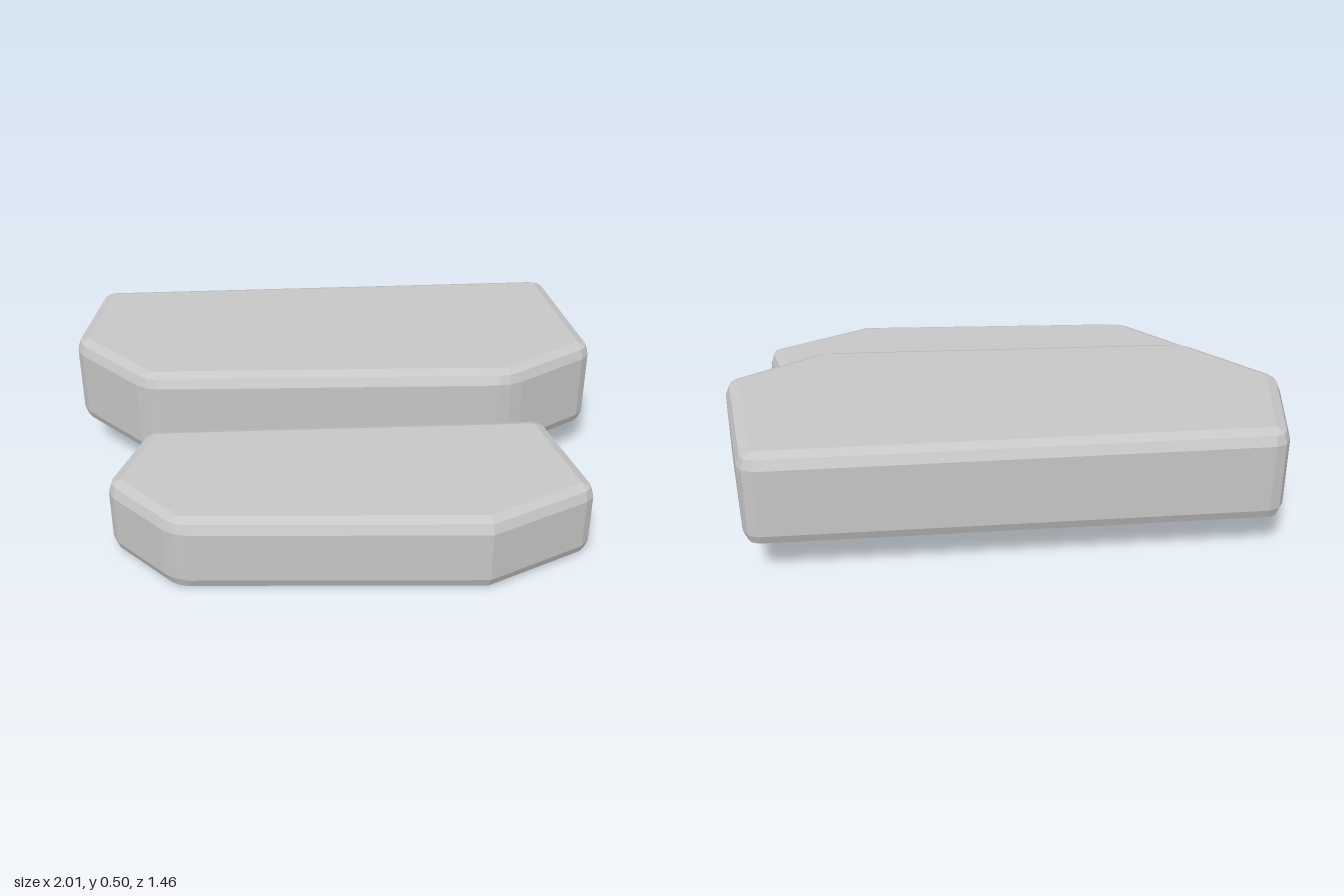
import * as THREE from 'three';

const BEVEL = 0.05;

// Bevelled slab: outline is [x, z] corners, counter-clockwise seen from above
function slabGeometry(outline, bottom, top) {
  const pts = outline.map(([x, z]) => new THREE.Vector2(x, z));
  const n = pts.length;
  const columns = []; // outer edge points, each with its inset cap corner
  const caps = [];
  pts.forEach((p, i) => {
    const e1 = p.clone().sub(pts[(i + n - 1) % n]).normalize();
    const e2 = pts[(i + 1) % n].clone().sub(p).normalize();
    const n1 = new THREE.Vector2(e1.y, -e1.x);
    const n2 = new THREE.Vector2(e2.y, -e2.x);
    const inner = p.clone().addScaledVector(n1.clone().add(n2), BEVEL / (1 + n1.dot(n2)));
    caps.push(inner);
    // Upright corner rounded in two segments; turns under 30 degrees stay sharp
    const cut = e1.dot(e2) > Math.cos(Math.PI / 6) ? 0 : BEVEL;
    const a = p.clone().addScaledVector(e1, -cut);
    const b = p.clone().addScaledVector(e2, cut);
    const c = a.clone().add(b).sub(p);
    const mid = c.clone().addScaledVector(p.clone().multiplyScalar(2).sub(a).sub(b), Math.SQRT1_2);
    for (const outer of cut ? [a, mid, b] : [p]) columns.push({ outer, inner });
  });

  // Rings from top to bottom: [height, spread from inset to outer edge]
  const s = Math.SQRT1_2;
  const rings = [
    [top, 0], [top - BEVEL * (1 - s), s], [top - BEVEL, 1],
    [bottom + BEVEL, 1], [bottom + BEVEL * (1 - s), s], [bottom, 0],
  ].map(([y, k]) => columns.map(({ outer, inner }) => {
    const q = inner.clone().lerp(outer, k);
    return new THREE.Vector3(q.x, y, q.y);
  }));

  const pos = [];
  const tri = (a, b, c) => {
    const area = b.clone().sub(a).cross(c.clone().sub(a)).length();
    if (area > 1e-9) for (const v of [a, b, c]) pos.push(v.x, v.y, v.z);
  };
  for (let r = 0; r < rings.length - 1; r++) {
    columns.forEach((_, i) => {
      const j = (i + 1) % columns.length;
      tri(rings[r][i], rings[r + 1][i], rings[r + 1][j]);
      tri(rings[r][i], rings[r + 1][j], rings[r][j]);
    });
  }
  // Flat top and underside
  const at = (i, y) => new THREE.Vector3(caps[i].x, y, caps[i].y);
  for (let i = 1; i < n - 1; i++) {
    tri(at(0, top), at(i, top), at(i + 1, top));
    tri(at(0, bottom), at(i + 1, bottom), at(i, bottom));
  }

  const geometry = new THREE.BufferGeometry();
  geometry.setAttribute('position', new THREE.Float32BufferAttribute(pos, 3));
  geometry.computeVertexNormals(); // unshared corners keep every facet flat
  return geometry;
}

export function createModel() {
  const group = new THREE.Group();
  group.name = 'stoneSteps';
  const stone = new THREE.MeshStandardMaterial({ color: 0xc6c6c6 });
  stone.name = 'light grey stone';

  const slabs = [
    // Raised rear step
    ['upperSlab', 0.145, 0.5, [
      [-0.93, -0.73], [-1.013, -0.285], [-0.72, 0.025],
      [0.66, 0.075], [1.01, -0.13], [0.92, -0.73],
    ]],
    // Front step on the ground
    ['lowerSlab', 0, 0.297, [
      [-0.72, 0.042], [-0.857, 0.395], [-0.605, 0.665],
      [0.5, 0.728], [0.905, 0.533], [0.79, 0.057],
    ]],
  ];
  for (const [name, bottom, top, outline] of slabs) {
    const mesh = new THREE.Mesh(slabGeometry(outline, bottom, top), stone);
    mesh.name = name;
    group.add(mesh);
  }
  return group;
}
